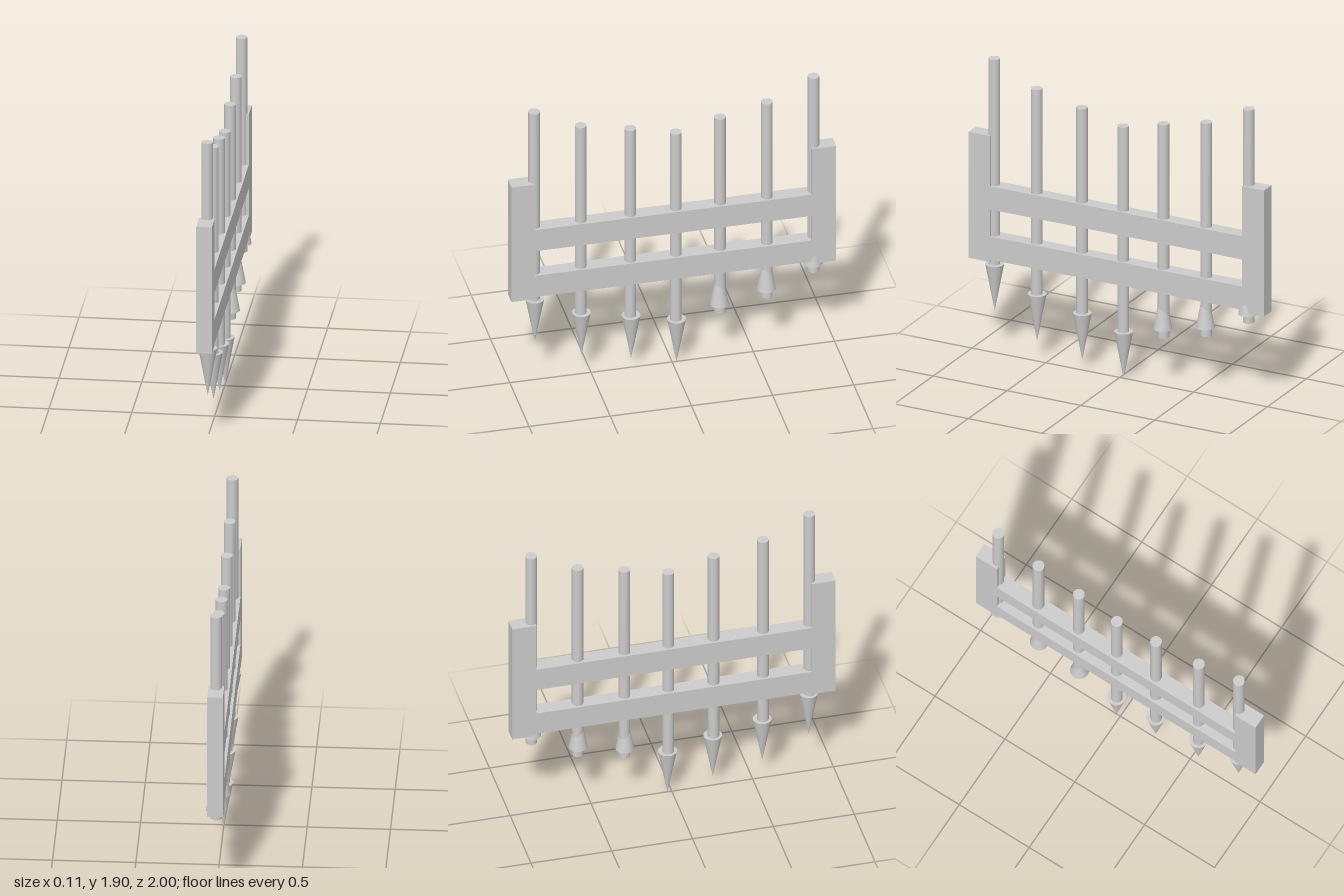
import * as THREE from 'three';

export function createModel() {
  const group = new THREE.Group();
  const mat = new THREE.MeshStandardMaterial({ color: 0xcccccc });
  const add = (name, geometry, x, y, z) => {
    const mesh = new THREE.Mesh(geometry, mat);
    mesh.name = name;
    mesh.position.set(x, y, z);
    group.add(mesh);
    return mesh;
  };

  // Frame: two end posts joined by two rails, drawn as (z, y) and extruded across x
  const path = (points) => points.map(([z, y]) => new THREE.Vector2(z, y));
  const outline = new THREE.Shape(path([
    [-1, 0.605], [-0.85, 0.605], [-0.85, 0.62], [0.855, 0.62], [0.855, 0.605], [1, 0.605],
    [1, 1.42], [0.855, 1.42], [0.855, 1.095], [-0.85, 1.095], [-0.85, 1.42], [-1, 1.42],
  ]));
  outline.holes.push(new THREE.Path(path([
    [-0.85, 0.77], [-0.85, 0.945], [0.855, 0.945], [0.855, 0.77],
  ])));
  const depth = 0.094;
  const frameGeo = new THREE.ExtrudeGeometry(outline, { depth, bevelEnabled: false });
  frameGeo.translate(0, 0, -depth / 2).rotateY(-Math.PI / 2);
  add('frame', frameGeo, -0.004, 0, 0);

  // Bars: equal rods at stepped heights, [z, bottom y, tip points up into the rod]
  const rodLength = 1.38, tipLength = 0.305;
  const rodGeo = new THREE.CylinderGeometry(0.035, 0.035, rodLength, 32);
  const tipGeo = new THREE.ConeGeometry(0.057, tipLength, 32);
  const bars = [
    [0.85, 0.53, false], [0.563, 0.39, false], [0.257, 0.325, false], [-0.023, 0.258, false],
    [-0.295, 0.325, true], [-0.584, 0.39, true], [-0.871, 0.53, true],
  ];
  for (const [z, bottom, up] of bars) {
    add('rod', rodGeo, -0.003, bottom + rodLength / 2, z);
    const base = bottom + 0.052;
    const tip = add('spikeTip', tipGeo, 0, base + (up ? 1 : -1) * tipLength / 2, z + (up ? 0.004 : -0.004));
    if (!up) tip.rotation.x = Math.PI;
  }
  return group;
}
